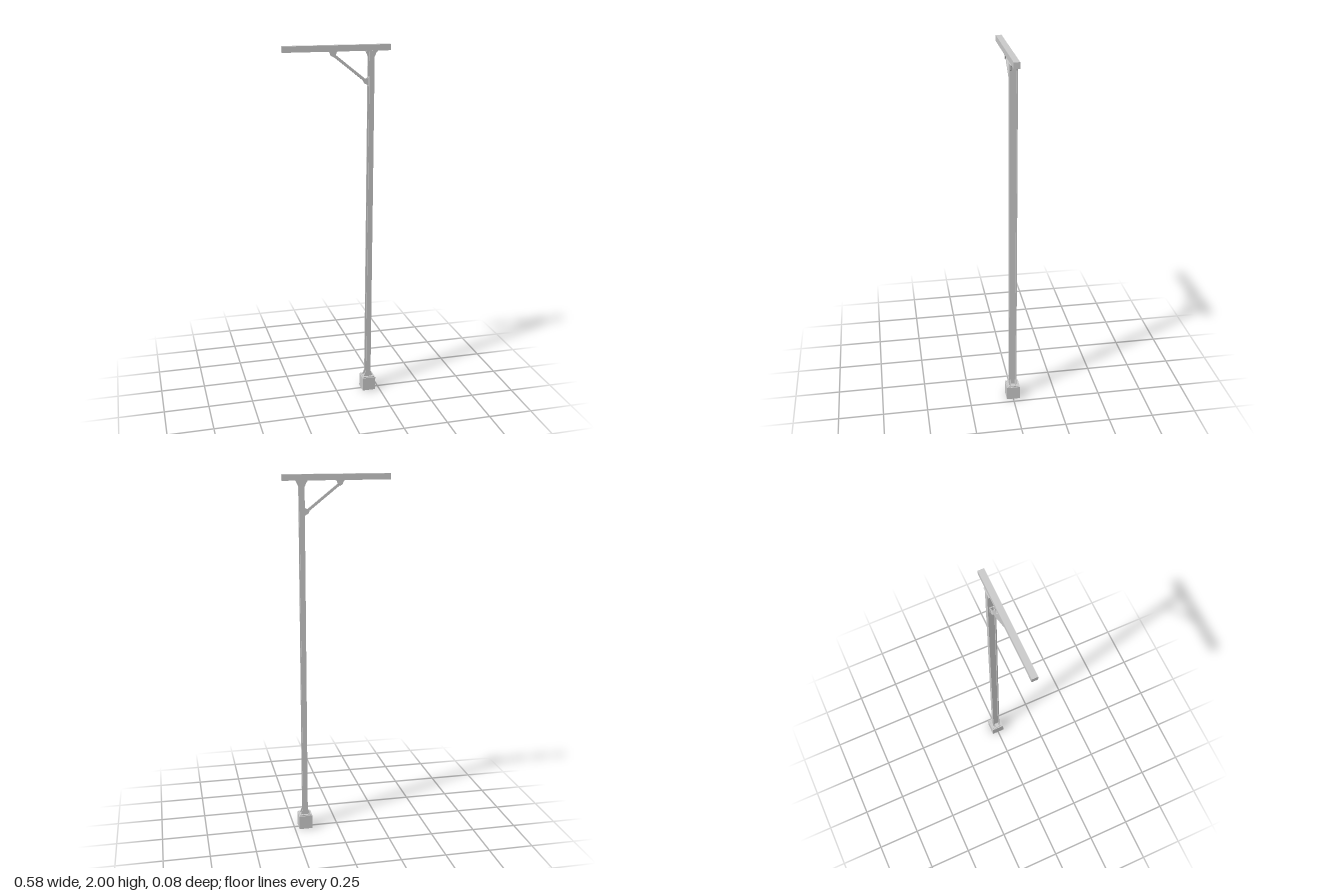
import * as THREE from 'three';

const POST_X = 0.187;
const BEAM_BOTTOM = 1.968;

export function createModel() {
  const root = new THREE.Group();
  const material = new THREE.MeshStandardMaterial({ color: 0xcccccc, flatShading: true });

  function add(name, geometry, x = 0, y = 0, z = 0) {
    const mesh = new THREE.Mesh(geometry, material);
    mesh.name = name;
    mesh.position.set(x, y, z);
    root.add(mesh);
    return mesh;
  }
  const box = (name, w, h, d, x, y, z = 0) => add(name, new THREE.BoxGeometry(w, h, d), x, y, z);

  // Flat plate drawn in the xy plane, centred on the given z
  function plate(name, points, thickness, z = 0) {
    const shape = new THREE.Shape(points.map(([x, y]) => new THREE.Vector2(x, y)));
    const geometry = new THREE.ExtrudeGeometry(shape, { depth: thickness, bevelEnabled: false });
    return add(name, geometry, 0, 0, z - thickness / 2);
  }

  // Footing with a bolted-down plate
  box('footing', 0.076, 0.078, 0.076, POST_X, 0.039);
  box('basePlate', 0.064, 0.005, 0.064, POST_X, 0.0805);

  // H-section post: flanges face front and back
  const w = 0.0135, d = 0.021, web = 0.004, flange = 0.006;
  const half = [[w, -d], [w, -d + flange], [web, -d + flange], [web, d - flange], [w, d - flange], [w, d]];
  const outline = [...half, ...half.map(([x, z]) => [-x, -z])];
  const section = new THREE.Shape(outline.map(([x, z]) => new THREE.Vector2(x, z)));
  const postHeight = BEAM_BOTTOM - 0.08;
  const postGeometry = new THREE.ExtrudeGeometry(section, { depth: postHeight, bevelEnabled: false });
  add('post', postGeometry.rotateX(-Math.PI / 2), POST_X, 0.08, 0);

  // Cross beam and the plate it rests on
  box('crossBeam', 0.582, 0.032, 0.032, 0, 1.984);
  box('capPlate', 0.06, 0.005, 0.04, POST_X, 1.9665);

  // Triangular gussets at the foot and head of the post
  for (const side of [-1, 1]) {
    for (const z of [-0.015, 0.015]) {
      const inner = POST_X + side * 0.011;
      const outer = POST_X + side * 0.027;
      plate('footGusset', [[inner, 0.082], [outer, 0.082], [POST_X + side * 0.0135, 0.116], [inner, 0.116]], 0.006, z);
      plate('headGusset', [[inner, 1.965], [outer, 1.965], [POST_X + side * 0.0135, 1.935], [inner, 1.935]], 0.006, z);
    }
  }

  // Diagonal brace
  const from = new THREE.Vector2(-0.022, 1.953);
  const to = new THREE.Vector2(0.162, 1.807);
  const span = to.clone().sub(from);
  const brace = box('brace', span.length(), 0.014, 0.012, (from.x + to.x) / 2, (from.y + to.y) / 2);
  brace.rotation.z = span.angle();

  // Paired bracket cheeks holding each end of the brace
  for (const z of [-0.008, 0.008]) {
    plate('beamBracket', [[-0.04, 1.969], [-0.03, 1.945], [-0.018, 1.938], [-0.008, 1.948], [0, 1.969]], 0.004, z);
    plate('postBracket', [[0.175, 1.785], [0.175, 1.83], [0.158, 1.82], [0.147, 1.809], [0.153, 1.796]], 0.004, z);
  }
  box('beamBracketPlate', 0.044, 0.004, 0.028, -0.02, 1.967);
  box('postBracketPlate', 0.004, 0.05, 0.028, 0.174, 1.807);

  return root;
}
